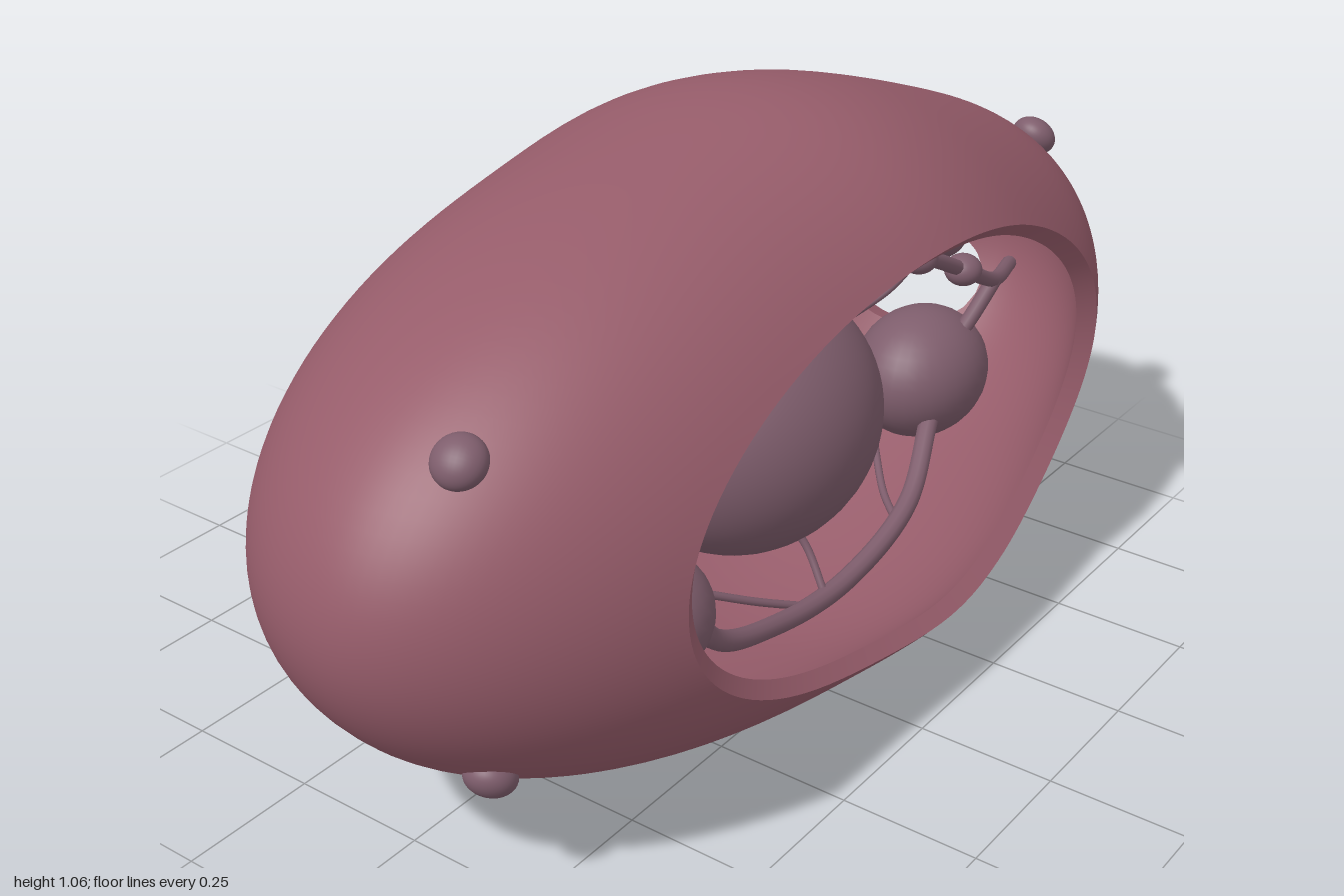
import * as THREE from 'three';

const V = (x, y, z) => new THREE.Vector3(x, y, z);

// Outer wall position: a runs around z, phi runs from the back pole to the front opening
const PHI_END = Math.PI - 0.708;
function wall(a, phi, k) {
  const X = Math.sin(phi) * Math.cos(a), Y = Math.sin(phi) * Math.sin(a), Z = -Math.cos(phi);
  const s = 0.955 + 0.045 * Math.exp(-(((X - 0.11) / 0.22) ** 2)) - 0.045 * THREE.MathUtils.smoothstep(X, 0.25, 0.65);
  const front = Math.max(0, Z);
  return V(
    k * (X + 0.04 * front * front),
    0.53 + k * 0.53 * s * Y,
    0.09 + k * ((Z < 0 ? 0.6 : 0.51) * s * Z - 0.05 * front * front * Y)
  );
}

// Side hole, an ellipse in (a, phi)
const HOLE = { a: -0.274, phi: 1.287, da: 0.216, dphi: 0.245 };

// Wall surface with the hole cut out; vertices inside the hole slide to its edge
function wallGeometry(k, inward) {
  const NA = 120, NP = 56, pos = [], idx = [], inside = [];
  for (let j = 0; j <= NP; j++) {
    for (let i = 0; i < NA; i++) {
      let a = (i / NA) * Math.PI * 2 - Math.PI, phi = (j / NP) * PHI_END;
      const u = (a - HOLE.a) / HOLE.da, v = (phi - HOLE.phi) / HOLE.dphi, d = Math.hypot(u, v);
      inside.push(d < 1);
      if (d < 1 && d > 1e-4) {
        a = HOLE.a + (u / d) * HOLE.da;
        phi = HOLE.phi + (v / d) * HOLE.dphi;
      }
      pos.push(...wall(a, phi, k).toArray());
    }
  }
  const tri = (p, q, r) => {
    if (inside[p] && inside[q] && inside[r]) return;
    if (inward) idx.push(p, r, q); else idx.push(p, q, r);
  };
  for (let j = 0; j < NP; j++) {
    for (let i = 0; i < NA; i++) {
      const n = (i + 1) % NA;
      const p = j * NA + i, q = j * NA + n, r = (j + 1) * NA + n, t = (j + 1) * NA + i;
      tri(p, q, r);
      tri(p, r, t);
    }
  }
  return build(pos, idx);
}

function build(pos, idx) {
  const g = new THREE.BufferGeometry();
  g.setAttribute('position', new THREE.Float32BufferAttribute(pos, 3));
  g.setIndex(idx);
  g.computeVertexNormals();
  return g;
}

// Strip joining outer and inner walls along a closed path of (a, phi)
function edgeGeometry(path, k, n) {
  const pos = [], idx = [];
  for (let i = 0; i < n; i++) {
    const [a, phi] = path((i / n) * Math.PI * 2);
    pos.push(...wall(a, phi, 1).toArray(), ...wall(a, phi, k).toArray());
    const p = 2 * i, q = 2 * ((i + 1) % n);
    idx.push(p, q, q + 1, p, q + 1, p + 1);
  }
  return build(pos, idx);
}

export function createModel() {
  const model = new THREE.Group();
  model.name = 'cell';
  const shellMat = new THREE.MeshStandardMaterial({ color: 0x965c6a, side: THREE.DoubleSide });
  shellMat.name = 'rose shell';
  const innerMat = new THREE.MeshStandardMaterial({ color: 0x7e5d6c, side: THREE.DoubleSide });
  innerMat.name = 'mauve organelle';

  const add = (name, geo, mat, parent = model) => {
    const m = new THREE.Mesh(geo, mat);
    m.name = name;
    parent.add(m);
    return m;
  };
  const ball = (name, p, r) => {
    const m = add(name, new THREE.SphereGeometry(1, 32, 20), innerMat);
    m.position.set(...p);
    m.scale.set(...r);
    return m;
  };
  const strand = (name, pts, r) =>
    add(name, new THREE.TubeGeometry(new THREE.CatmullRomCurve3(pts.map(p => V(...p))), pts.length * 10, r, 10), innerMat);

  // Shell: two walls, the front rim and the edge of the side hole
  const K = 0.94;
  const shell = new THREE.Group();
  shell.name = 'shell';
  model.add(shell);
  add('outerWall', wallGeometry(1, false), shellMat, shell);
  add('innerWall', wallGeometry(K, true), shellMat, shell);
  add('frontRim', edgeGeometry(t => [t, PHI_END], K, 120), shellMat, shell);
  add('sideHoleEdge', edgeGeometry(
    t => [HOLE.a + HOLE.da * Math.cos(t), HOLE.phi + HOLE.dphi * Math.sin(t)], K, 48), shellMat, shell);

  // Nucleus: a hollow ball with a small round mouth facing +x
  const profile = [];
  for (let i = 0; i <= 32; i++) {
    const t = Math.PI - (i / 32) * (Math.PI - 0.22);
    profile.push(new THREE.Vector2(Math.sin(t), Math.cos(t)));
  }
  profile.push(new THREE.Vector2(0.17, 0.95), new THREE.Vector2(0.15, 0.85), new THREE.Vector2(0.1, 0.72), new THREE.Vector2(0, 0.68));
  const nucleusGeo = new THREE.LatheGeometry(profile, 48);
  nucleusGeo.rotateZ(-Math.PI / 2);
  nucleusGeo.rotateY(-0.15);
  const nucleus = add('nucleus', nucleusGeo, innerMat);
  nucleus.position.set(-0.12, 0.575, 0.19);
  nucleus.scale.set(0.255, 0.232, 0.23);

  // Round bodies
  ball('rightBody', [-0.515, 0.425, 0.29], [0.115, 0.105, 0.11]);
  ball('leftBody', [0.45, 0.43, 0.2], [0.145, 0.122, 0.12]);
  ball('upperLeftBody', [0.52, 0.69, 0.16], [0.1, 0.06, 0.07]).rotation.z = -0.6;

  // Main strands, an upper and a lower arc
  strand('upperStrand', [[-0.6, 0.56, 0.3], [-0.53, 0.59, 0.31], [-0.43, 0.655, 0.32], [-0.26, 0.77, 0.31],
    [-0.02, 0.84, 0.3], [0.25, 0.755, 0.3], [0.41, 0.675, 0.3], [0.545, 0.605, 0.29], [0.68, 0.58, 0.25]], 0.014);
  strand('lowerStrand', [[-0.5, 0.6, 0.31], [-0.47, 0.48, 0.32], [-0.39, 0.33, 0.33], [-0.21, 0.26, 0.33],
    [0.01, 0.24, 0.33], [0.22, 0.29, 0.32], [0.37, 0.38, 0.27]], 0.018);
  strand('leftBranch', [[0.55, 0.605, 0.29], [0.51, 0.54, 0.27], [0.46, 0.46, 0.24]], 0.015);
  strand('rightBranch', [[-0.5, 0.6, 0.31], [-0.55, 0.52, 0.3], [-0.53, 0.44, 0.29]], 0.013);

  // Beads on the upper strand
  for (const [x, y, z, r] of [[-0.43, 0.655, 0.32, 0.03], [-0.26, 0.77, 0.31, 0.038],
    [0.25, 0.755, 0.3, 0.034], [0.41, 0.675, 0.3, 0.034]]) ball('bead', [x, y, z], [r, r * 0.85, r]);

  // Thin twigs
  for (const pts of [
    [[0.1, 0.68, 0.25], [0.17, 0.72, 0.29], [0.25, 0.755, 0.3]],
    [[0.25, 0.755, 0.3], [0.32, 0.75, 0.24], [0.37, 0.8, 0.18]],
    [[0.25, 0.755, 0.3], [0.3, 0.71, 0.24], [0.35, 0.67, 0.18]],
    [[-0.29, 0.33, 0.25], [-0.21, 0.29, 0.29], [-0.12, 0.25, 0.33]],
    [[0.18, 0.275, 0.32], [0.25, 0.28, 0.25], [0.33, 0.32, 0.18]],
    [[-0.06, 0.24, 0.33], [-0.05, 0.32, 0.28], [-0.07, 0.38, 0.24]],
    [[0.52, 0.41, 0.18], [0.7, 0.37, 0.1], [0.87, 0.33, 0.04]],
  ]) strand('twig', pts, 0.007);

  // Knobs on the outside, flattened along the surface
  for (const p of [[0.86, 0.77, 0.19], [0.84, 0.29, 0.19], [-0.82, 0.8, 0.21], [-0.8, 0.26, 0.22]]) {
    const knob = ball('knob', p, [0.043, 0.043, 0.033]);
    knob.lookAt(p[0] * 1.6, p[1] + (p[1] - 0.53) * 2.4, p[2] + 0.15);
  }
  return model;
}
